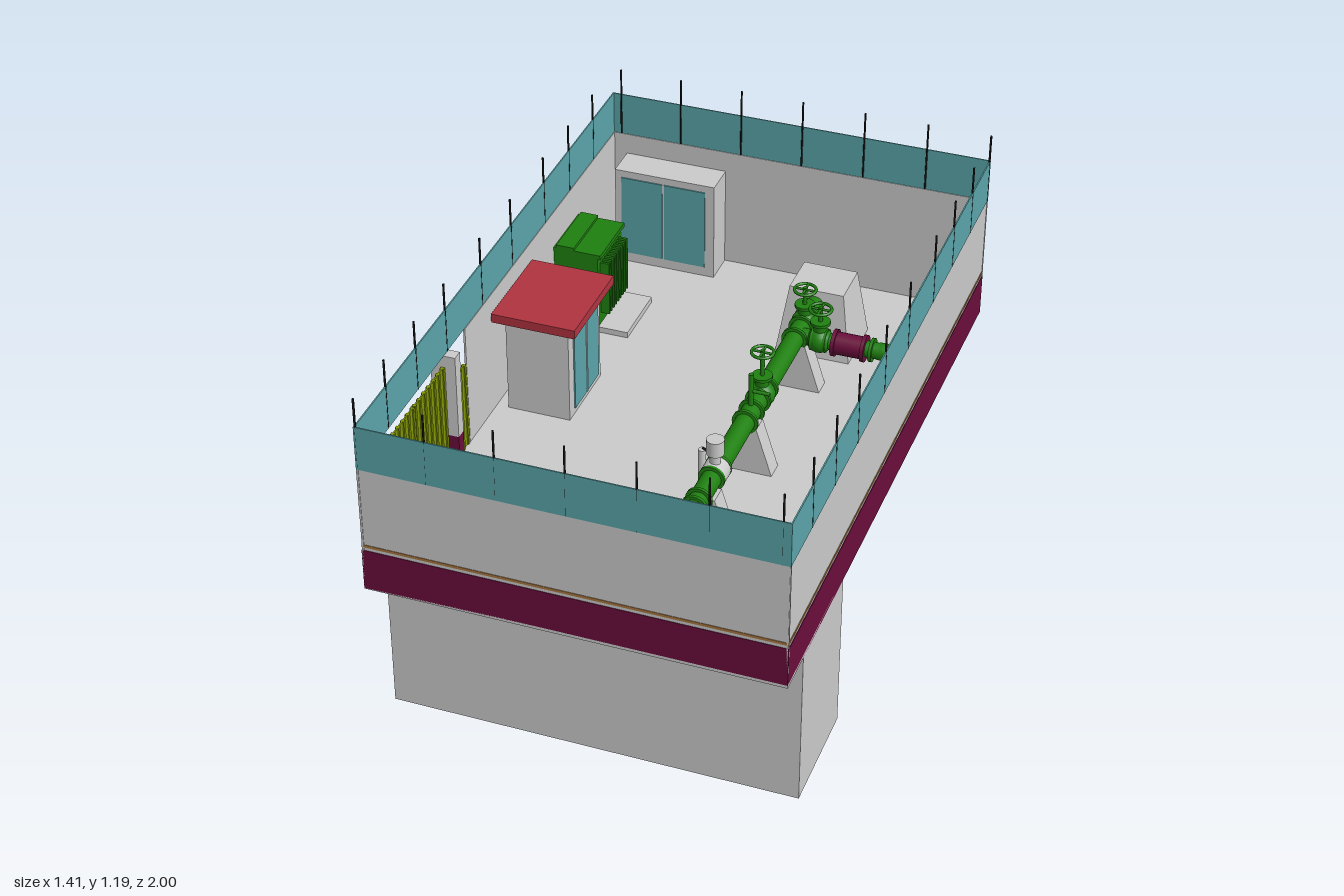
import * as THREE from 'three';

const paint = (name, color) => Object.assign(new THREE.MeshStandardMaterial({ color }), { name });

export function createModel() {
  const model = new THREE.Group();
  const grey = paint('concrete grey', 0xcbcbcb);
  const maroon = paint('maroon', 0x6a0d3b);
  const teal = paint('teal glass', 0x5ba5aa);
  const green = paint('machine green', 0x1f8010);
  const olive = paint('gate olive', 0x7f9404);
  const red = paint('roof red', 0xb03340);
  const tan = paint('stripe tan', 0xa8763f);
  const black = paint('wire black', 0x161616);

  const add = (name, geometry, mat, parent = model) => {
    const mesh = new THREE.Mesh(geometry, mat);
    mesh.name = name;
    parent.add(mesh);
    return mesh;
  };
  // Box given by its limits on each axis
  const box = (name, mat, x0, x1, y0, y1, z0, z1, parent) => {
    const m = add(name, new THREE.BoxGeometry(x1 - x0, y1 - y0, z1 - z0), mat, parent);
    m.position.set((x0 + x1) / 2, (y0 + y1) / 2, (z0 + z1) / 2);
    return m;
  };
  // Box whose top is drawn in by the factors sx and sz
  const tapered = (name, mat, x0, x1, y0, y1, z0, z1, sx, sz) => {
    const m = box(name, mat, x0, x1, y0, y1, z0, z1);
    const p = m.geometry.attributes.position;
    for (let i = 0; i < p.count; i++) {
      if (p.getY(i) > 0) p.setXYZ(i, p.getX(i) * sx, p.getY(i), p.getZ(i) * sz);
    }
    m.geometry.computeVertexNormals();
    return m;
  };
  // Round rod between two points
  const rod = (name, mat, a, b, r, sides = 20) => {
    const from = new THREE.Vector3(...a), dir = new THREE.Vector3(...b).sub(from);
    const m = add(name, new THREE.CylinderGeometry(r, r, dir.length(), sides), mat);
    m.position.copy(from).addScaledVector(dir, 0.5);
    m.quaternion.setFromUnitVectors(new THREE.Vector3(0, 1, 0), dir.normalize());
    return m;
  };
  const bend = (name, mat, pts, r) => add(name, new THREE.TubeGeometry(
    new THREE.CatmullRomCurve3(pts.map(p => new THREE.Vector3(...p))), 20, r, 16), mat);

  const L = -0.575, R = 0.7, B = 0.53, T = 0.955, F = 0.54;

  // Floor slab and the tank under it
  box('floor', grey, L, R, B, F, -1, 1);
  box('undergroundTank', grey, L, R, 0, B, 0.49, 0.86);

  // Walls: grey panel, maroon plinth, tan stripe and glass fence on top
  const wall = (name, x0, x1, z0, z1, nx, nz) => {
    const g = new THREE.Group();
    g.name = name;
    model.add(g);
    box(name + 'Panel', grey, x0, x1, B, T, z0, z1, g);
    const skin = (part, mat, y0, y1, t) => nx
      ? box(part, mat, (nx > 0 ? x1 : x0) - t, (nx > 0 ? x1 : x0) + t, y0, y1, z0, z1, g)
      : box(part, mat, x0, x1, y0, y1, (nz > 0 ? z1 : z0) - t, (nz > 0 ? z1 : z0) + t, g);
    skin('plinth', maroon, B, 0.67, 0.002);
    skin('stripe', tan, 0.681, 0.69, 0.0015);
  };
  const w = 0.006;
  wall('frontWall', L, R, 1 - w, 0.998, 0, 1);
  wall('backWall', L, R, -0.998, -1 + w, 0, -1);
  wall('rightWall', R - w, R - 0.002, -1, 1, 1, 0);
  wall('leftWallRear', L, L + w, -1, 0.25, -1, 0);
  wall('leftWallFront', L, L + w, 0.86, 1, -1, 0);
  box('frontFence', teal, L, R, T, 1.1, 0.996, 1);
  box('backFence', teal, L, R, T, 1.1, -1, -0.996);
  box('rightFence', teal, R - 0.004, R, T, 1.1, -1, 1);
  box('leftFence', teal, L, L + 0.004, T, 1.1, -1, 1);

  // Fence posts
  const post = (x, z) => rod('fencePost', black, [x, T, z], [x, 1.19, z], 0.0032, 6);
  for (let i = 0; i < 7; i++) {
    post(-0.57 + i * 0.2075, 0.997);
    post(Math.min(-0.545 + i * 0.2075, 0.697), -0.997);
  }
  [0.815, 0.61, 0.4, 0.14, -0.1, -0.37, -0.58, -0.79, -0.99].forEach(z => post(R - 0.002, z));
  [0.99, 0.79, 0.585, 0.375, 0.11, -0.125, -0.39, -0.6, -0.81].forEach(z => post(L + 0.002, z));

  // Gate pillars, double gate and side door
  for (const z of [0.385, 0.85]) {
    box('gatePillar', grey, -0.615, -0.535, 0.67, T, z - 0.018, z + 0.018);
    box('gatePillarBase', maroon, -0.615, -0.535, B, 0.67, z - 0.018, z + 0.018);
  }
  const corrugated = (name, z0, z1, y1, n) => {
    box(name, olive, L - 0.002, L + 0.003, B + 0.01, y1, z0, z1);
    for (let i = 0; i <= n; i++) {
      const z = z0 + 0.005 + (z1 - z0 - 0.01) * i / n;
      box(name + 'Rib', olive, L - 0.006, L + 0.007, B + 0.01, y1, z - 0.005, z + 0.005);
    }
  };
  corrugated('gateLeafRear', 0.404, 0.616, 0.915, 6);
  corrugated('gateLeafFront', 0.62, 0.831, 0.915, 6);
  corrugated('sideDoor', 0.255, 0.366, 0.83, 3);

  // Meter box on the outside of the left wall
  box('meterBox', grey, -0.615, L, 0.69, 0.81, -0.31, -0.21);
  box('meterBoxWindow', teal, -0.618, -0.614, 0.745, 0.785, -0.28, -0.24);

  // Transformer on its pad
  box('transformerPad', grey, -0.71, -0.32, B, 0.56, -0.67, -0.447);
  box('transformerBody', green, -0.603, -0.42, 0.56, 0.815, -0.66, -0.45);
  box('transformerLid', green, -0.605, -0.41, 0.815, 0.83, -0.662, -0.448);
  box('transformerRidge', green, -0.56, -0.5, 0.83, 0.84, -0.662, -0.448);
  for (let i = 0; i < 9; i++) {
    const z = -0.635 + i * 0.02;
    box('coolingFin', green, -0.42, -0.39, 0.6, 0.79, z - 0.004, z + 0.004);
  }

  // Control hut with glazed door and red roof
  box('hutBody', grey, -0.53, -0.325, F, 0.87, -0.22, 0.04);
  box('hutRoof', red, -0.562, -0.29, 0.87, 0.9, -0.255, 0.073);
  box('hutDoor', teal, -0.327, -0.321, 0.56, 0.82, -0.2, 0.0);
  box('hutDoorBar', grey, -0.323, -0.319, 0.56, 0.82, -0.104, -0.096);

  // Cabinet with two glass doors
  box('cabinet', grey, -0.525, -0.18, F, 0.885, -0.992, -0.88);
  for (const x of [-0.502, -0.353]) {
    box('cabinetDoor', teal, x, x + 0.142, 0.575, 0.86, -0.882, -0.876);
  }

  // Main pipe: pump bend, straight run and rear outlet
  const X = 0.265, Y = 0.72, r = 0.031;
  rod('mainPipe', green, [X, Y, -0.7], [X, Y, 0.64], r);
  bend('pumpBend', green, [[X, Y, 0.62], [X, Y, 0.66], [X, 0.71, 0.69], [X, 0.68, 0.705], [X, 0.5, 0.705]], r);
  bend('outletBend', green, [[X, Y, -0.7], [X, 0.7, -0.74], [X, 0.65, -0.75], [X, 0.57, -0.755], [X, 0.505, -0.79]], r);
  for (const z of [-0.5, -0.44, -0.37, -0.09, -0.02, 0.04, 0.1, 0.34, 0.4, 0.51, 0.55, 0.62]) {
    rod('flange', green, [X, Y, z - 0.005], [X, Y, z + 0.005], 0.041);
  }

  // Side branch with a maroon valve
  rod('branchPipe', green, [X, Y, -0.395], [0.56, Y, -0.395], 0.026);
  bend('branchBend', green, [[0.53, Y, -0.395], [0.56, Y, -0.395], [0.58, 0.7, -0.395], [0.583, 0.66, -0.395], [0.583, F, -0.395]], 0.028);
  rod('branchValve', maroon, [0.395, Y, -0.395], [0.48, Y, -0.395], 0.036);
  for (const x of [0.39, 0.485]) rod('branchValveFlange', maroon, [x - 0.006, Y, -0.395], [x + 0.006, Y, -0.395], 0.043);
  for (const x of [0.32, 0.36, 0.51]) rod('branchFlange', green, [x - 0.005, Y, -0.395], [x + 0.005, Y, -0.395], 0.038);

  // Valves with handwheels
  const valve = (x, z, top) => {
    const bulb = add('valveBody', new THREE.SphereGeometry(0.042, 20, 14), green);
    bulb.position.set(x, Y, z);
    rod('valveBonnet', green, [x, Y, z], [x, Y + 0.065, z], 0.021);
    rod('valveCollar', green, [x, Y + 0.06, z], [x, Y + 0.07, z], 0.032);
    rod('valveStem', green, [x, Y, z], [x, top, z], 0.007, 10);
    const wheel = add('handwheel', new THREE.TorusGeometry(0.034, 0.005, 8, 24), green);
    wheel.rotation.x = Math.PI / 2;
    wheel.position.set(x, top - 0.008, z);
    rod('wheelSpoke', green, [x - 0.034, top - 0.008, z], [x + 0.034, top - 0.008, z], 0.004, 8);
    rod('wheelSpoke', green, [x, top - 0.008, z - 0.034], [x, top - 0.008, z + 0.034], 0.004, 8);
  };
  valve(X, -0.47, 0.85);
  valve(X, -0.055, 0.88);
  valve(X + 0.075, -0.395, 0.84);
  rod('gaugeStem', green, [X, Y, 0.05], [X, 0.86, 0.05], 0.008, 10);
  rod('gaugeArm', green, [X, 0.8, 0.05], [X + 0.06, 0.8, 0.05], 0.006, 10);

  // Grey flow meter and its drain line
  rod('flowMeter', grey, [X, Y, 0.345], [X, Y, 0.395], 0.04);
  rod('flowMeterNeck', grey, [X, Y, 0.37], [X, 0.81, 0.37], 0.016);
  rod('flowMeterHead', grey, [X, 0.79, 0.37], [X, 0.84, 0.37], 0.027);
  rod('drainArm', black, [X, 0.74, 0.33], [0.2, 0.74, 0.295], 0.004, 8);
  rod('drainPipe', grey, [0.2, 0.45, 0.3], [0.2, 0.74, 0.3], 0.012, 12);
  rod('drainTip', black, [0.2, 0.43, 0.3], [0.2, 0.46, 0.3], 0.006, 8);

  // Pipe supports with footings below the floor
  for (const z of [0.445, 0.072, -0.395]) {
    box('supportFooting', grey, 0.175, 0.355, 0.5, B, z - 0.031, z + 0.031);
    tapered('pipeSupport', grey, 0.175, 0.355, B, 0.7, z - 0.031, z + 0.031, 0.4, 1);
  }

  // Rear anchor block
  tapered('anchorBlock', grey, 0.145, 0.392, B, 0.77, -0.762, -0.547, 0.72, 0.7);

  // Pump plinths and steel frame
  tapered('pumpPlinth', grey, 0.11, 0.165, B, 0.6, 0.59, 0.8, 0.75, 1);
  tapered('pumpPlinth', grey, 0.37, 0.43, B, 0.6, 0.59, 0.8, 0.75, 1);
  for (const z of [0.622, 0.768]) box('pumpBeam', green, 0.14, 0.4, 0.6, 0.615, z - 0.007, z + 0.007);
  box('pumpBasePlate', green, 0.185, 0.34, 0.6, 0.625, 0.62, 0.77);
  rod('pumpFlange', green, [X, 0.625, 0.705], [X, 0.64, 0.705], 0.05);

  return model;
}
